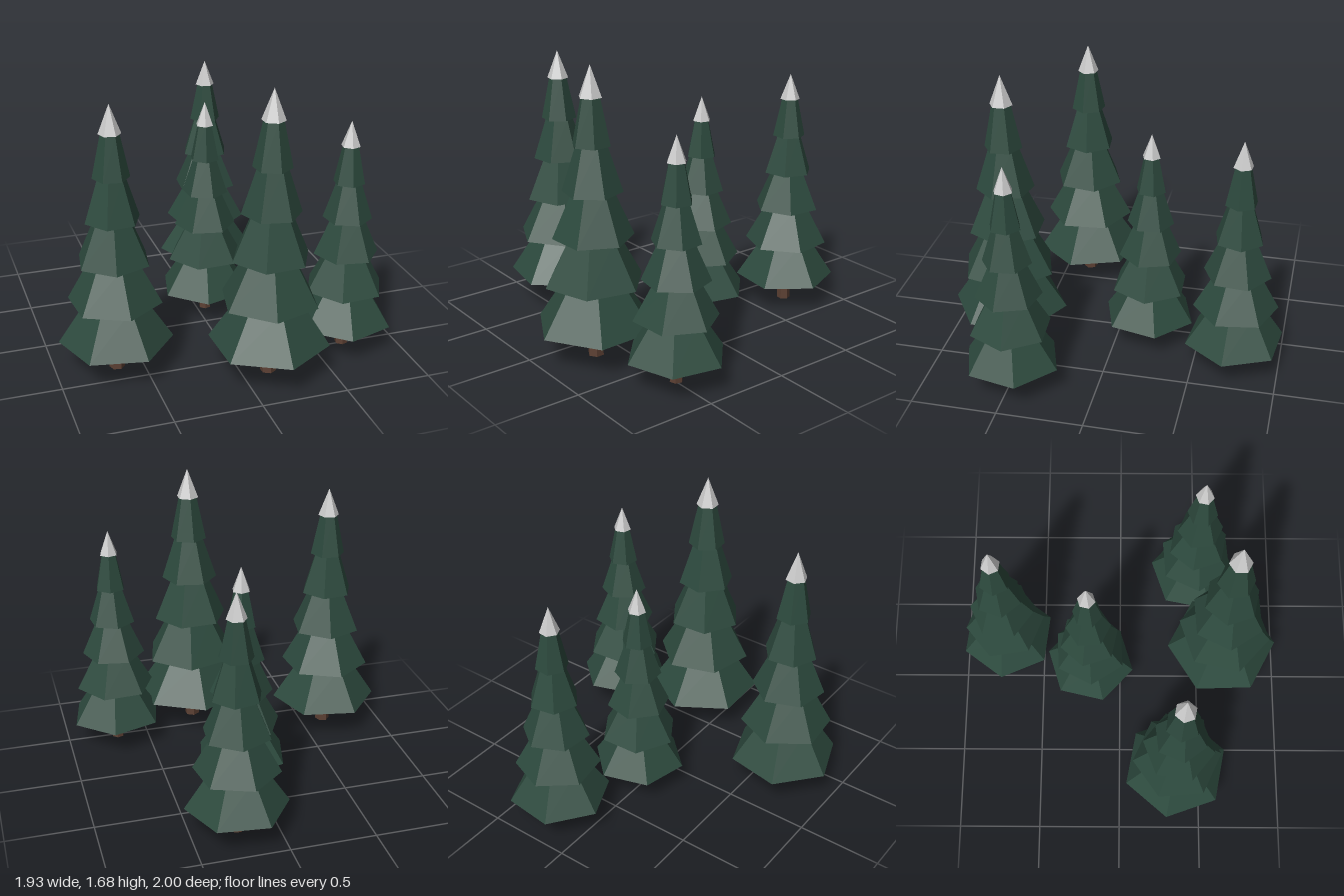
import * as THREE from 'three';

const SIDES = 6;
const mat = (color) => new THREE.MeshStandardMaterial({ color, flatShading: true });

// Proportions of a tree of height 1
const FIRST_TIER = 0.114;   // height of the lowest branches
const TIER_STEP = 0.156;    // spacing between tiers
const TIER_RADII = [0.206, 0.171, 0.136, 0.101, 0.066];
const TWIST = 0.25;         // turn from one tier to the next

export function createModel() {
  const model = new THREE.Group();
  model.name = 'pineGrove';

  const bark = mat(0x5c4033);
  const needles = mat(0x2d4a3e);
  const snow = mat(0xeeeeee);

  // Frustum or cone standing on height y
  function ring(name, rTop, rBottom, h, y, turn, material) {
    const geo = new THREE.CylinderGeometry(rTop, rBottom, h, SIDES);
    geo.translate(0, h / 2, 0);
    const mesh = new THREE.Mesh(geo, material);
    mesh.name = name;
    mesh.position.y = y;
    mesh.rotation.y = turn;
    return mesh;
  }

  // One tree: trunk, five twisted tiers and a snowy tip
  function makeTree(x, z, height, cornerDegrees) {
    const tree = new THREE.Group();
    tree.name = 'pineTree';
    const turn = THREE.MathUtils.degToRad(30 - cornerDegrees);

    tree.add(ring('trunk', 0.024, 0.028, 0.14, 0, turn, bark));
    TIER_RADII.forEach((r, i) => {
      tree.add(ring('branchTier', r * 0.5, r, TIER_STEP + 0.001,
        FIRST_TIER + i * TIER_STEP, turn - i * TWIST, needles));
    });
    tree.add(ring('snowCap', 0, 0.04, 0.105, 0.895, turn, snow));

    tree.position.set(x, 0, z);
    tree.scale.setScalar(height);
    return tree;
  }

  // x, z, height, direction of a lowest-tier corner
  const trees = [
    [-0.65, 0.35, 1.58, 10.6],
    [0.16, 0.655, 1.68, 28],
    [0.69, 0.49, 1.39, -18.4],
    [0.055, -0.19, 1.355, -17],
    [0.23, -0.73, 1.445, 6.5],
  ];
  for (const t of trees) model.add(makeTree(...t));

  return model;
}
